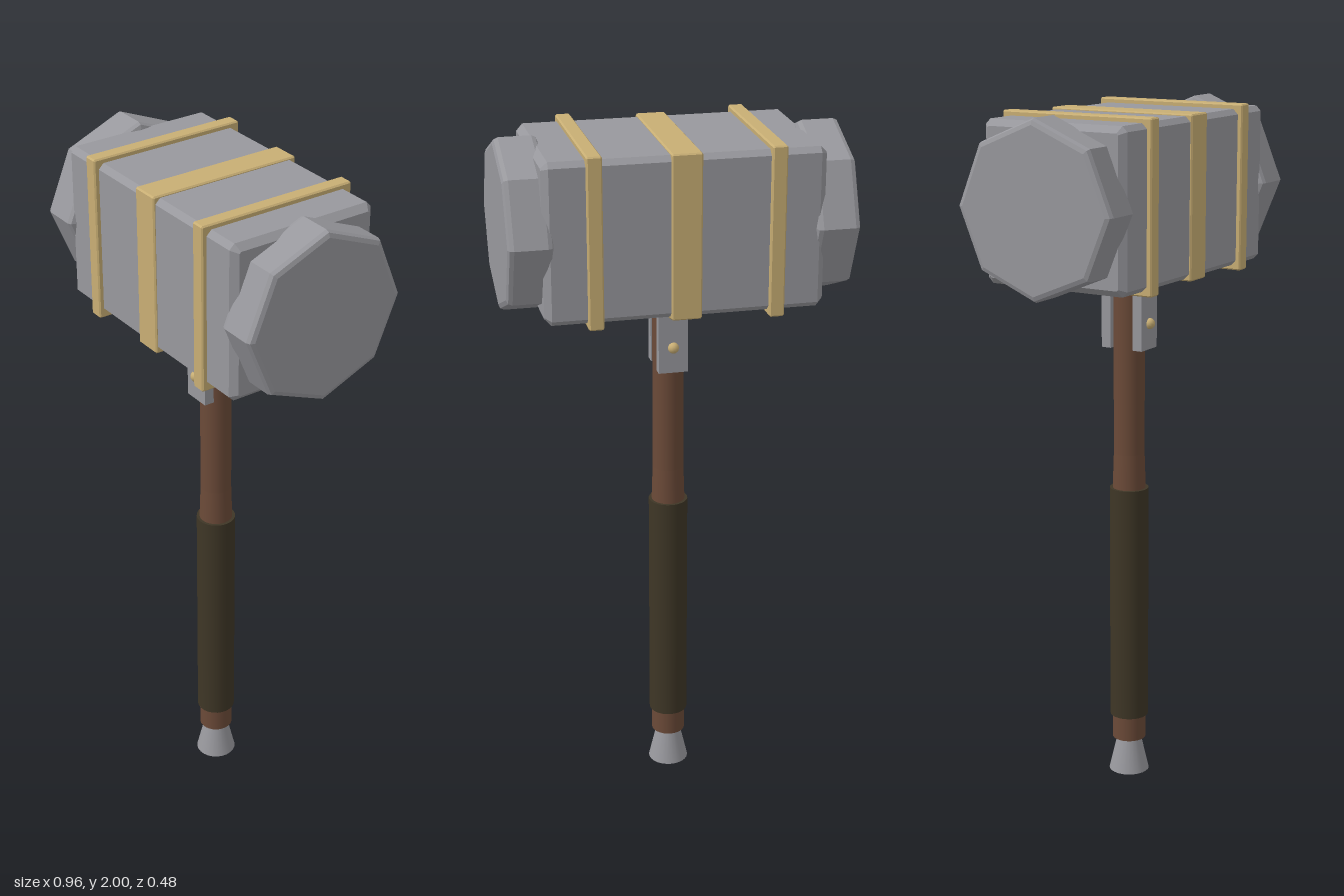
import * as THREE from 'three';

const material = (name, color) => {
  const m = new THREE.MeshStandardMaterial({ color });
  m.name = name;
  return m;
};

export function createModel() {
  const steel = material('steel', 0x98989d);
  const brass = material('brass', 0xc8ae74);
  const wood = material('wood', 0x6b4a38);
  const leather = material('leather', 0x3e3626);
  const model = new THREE.Group();
  model.name = 'warHammer';

  const add = (parent, name, geometry, mat, x = 0, y = 0, z = 0) => {
    const mesh = new THREE.Mesh(geometry, mat);
    mesh.name = name;
    mesh.position.set(x, y, z);
    parent.add(mesh);
    return mesh;
  };

  // Bevelled prism lying along x, centred on the origin
  const prism = (points, width, bevel, segments = 1) => {
    const shape = new THREE.Shape(points.map(([a, b]) => new THREE.Vector2(a, b)));
    const g = new THREE.ExtrudeGeometry(shape, {
      depth: width - 2 * bevel, bevelEnabled: true, bevelThickness: bevel,
      bevelSize: bevel, bevelOffset: -bevel, bevelSegments: segments,
    });
    g.translate(0, 0, bevel - width / 2);
    return g.rotateY(Math.PI / 2);
  };
  // Square outline with cut corners
  const square = (h, c) => [
    [h - c, -h], [h, c - h], [h, h - c], [h - c, h],
    [c - h, h], [-h, h - c], [-h, c - h], [c - h, -h],
  ];
  const octagon = (r) => Array.from({ length: 8 }, (_, i) =>
    [r * Math.cos(i * Math.PI / 4), r * Math.sin(i * Math.PI / 4)]);

  // Head: chamfered block, three bands and two octagonal striking faces
  const head = new THREE.Group();
  head.name = 'head';
  head.position.set(0, 1.76, -0.003);
  model.add(head);
  add(head, 'headBlock', prism(square(0.223, 0.015), 0.77, 0.018), steel);
  add(head, 'centreBand', prism(square(0.229, 0.004), 0.084, 0.004), brass);
  for (const side of [-1, 1]) {
    add(head, 'sideBand', prism(square(0.237, 0.004), 0.042, 0.004), brass, side * 0.249);
    add(head, 'strikingFace', prism(octagon(0.242), 0.122, 0.016, 2), steel, side * 0.419);
  }

  // Handle sections: name, material, top radius, bottom radius, bottom y, top y
  const sections = [
    ['upperShaft', wood, 0.045, 0.045, 0.99, 1.56],
    ['shaftCollar', wood, 0.045, 0.049, 0.88, 1.0],
    ['grip', leather, 0.057, 0.057, 0.18, 0.895],
    ['lowerShaft', wood, 0.05, 0.05, 0.105, 0.19],
    ['pommel', steel, 0.034, 0.06, 0, 0.112],
  ];
  for (const [name, mat, top, bottom, y0, y1] of sections) {
    add(model, name, new THREE.CylinderGeometry(top, bottom, y1 - y0, 24), mat, 0, (y0 + y1) / 2, 0);
  }

  // Riveted straps joining the head to the shaft, front and back
  for (const side of [-1, 1]) {
    add(model, 'strap', new THREE.BoxGeometry(0.084, 0.235, 0.03), steel, 0, 1.4325, side * 0.052);
    for (const y of [1.39, 1.49]) {
      add(model, 'rivet', new THREE.SphereGeometry(0.016, 12, 8), brass, 0, y, side * 0.068);
    }
  }
  return model;
}
